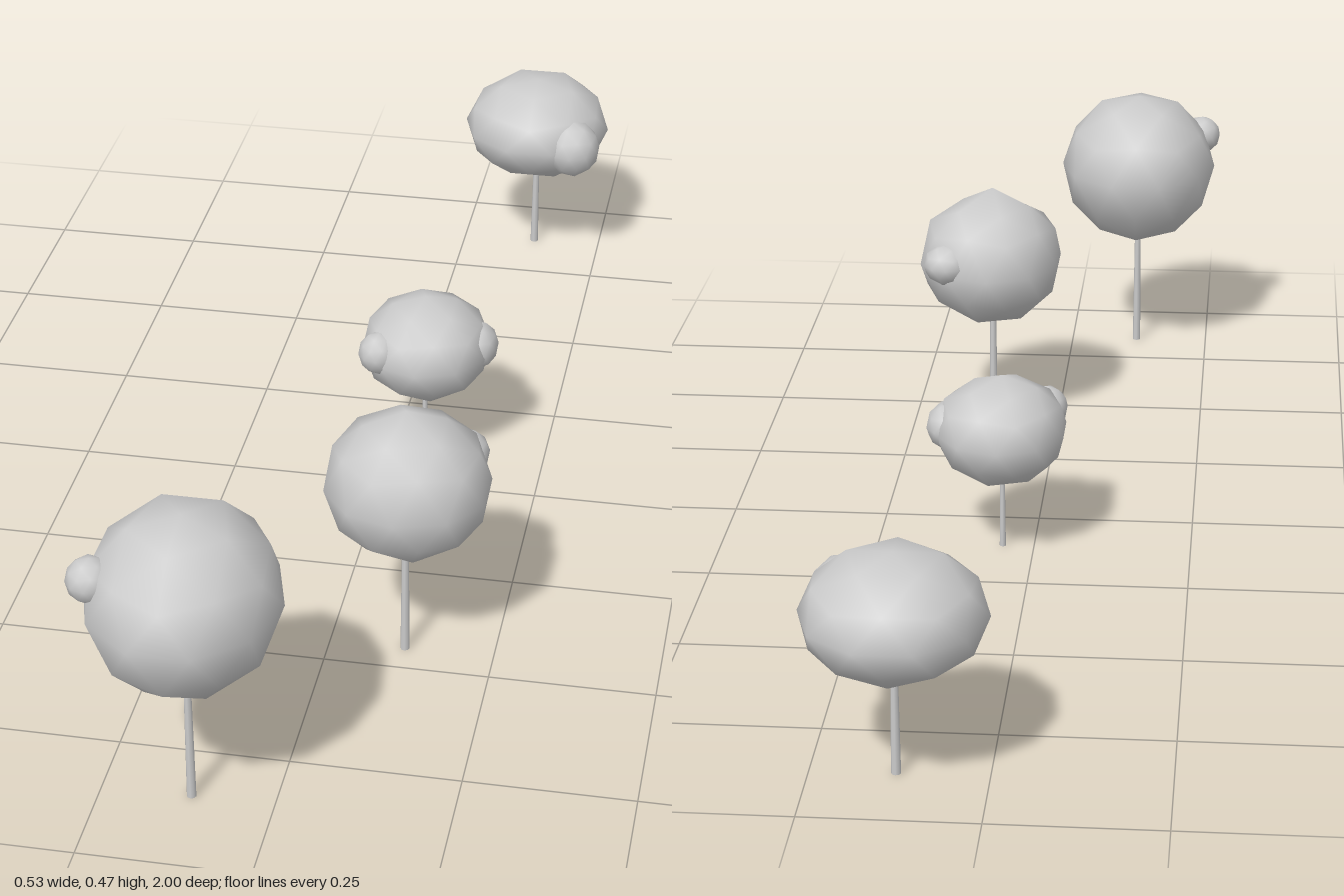
import * as THREE from 'three';
import { mergeVertices } from 'three/addons/utils/BufferGeometryUtils.js';

const material = new THREE.MeshStandardMaterial({ color: 0xcccccc });

// Low-poly blob with smooth normals. Each half-extent is [negative, positive];
// crest < 1 lowers the ring under the top so the top becomes a peak.
function blobGeometry(ex, ey, ez, spin = 0, crest = 1) {
  const raw = new THREE.IcosahedronGeometry(1, 1);
  raw.deleteAttribute('uv');
  raw.deleteAttribute('normal');
  const geo = mergeVertices(raw, 1e-4);
  // stand the sphere on one of its five-sided corners, then turn it
  geo.rotateZ(Math.PI / 2 - Math.atan2((1 + Math.sqrt(5)) / 2, 1));
  geo.rotateY(spin);
  const p = geo.attributes.position;
  const half = (v, e) => v * (v < 0 ? e[0] : e[1]);
  for (let i = 0; i < p.count; i++) {
    let y = p.getY(i);
    if (y > 0.7 && y < 0.99) y *= crest;
    p.setXYZ(i, half(p.getX(i), ex), half(y, ey), half(p.getZ(i), ez));
  }
  geo.computeVertexNormals();
  return geo;
}

const trees = [
  { name: 'frontTree', x: -0.12, z: 0.85, y: 0.345, r: 0.007, spin: Math.PI / 10, crest: 1.03,
    ex: [0.14, 0.14], ey: [0.142, 0.13], ez: [0.158, 0.154],
    bumps: [[-0.115, 0.045, 0.05, 0.034, 0.034, 0.034]] },
  { name: 'secondTree', x: 0.115, z: 0.45, y: 0.292, r: 0.007, spin: 0, crest: 0.88,
    ex: [0.122, 0.128], ey: [0.112, 0.128], ez: [0.135, 0.114],
    bumps: [[0.07, 0.015, -0.082, 0.042, 0.036, 0.042]] },
  { name: 'thirdTree', x: 0.05, z: -0.11, y: 0.202, r: 0.005, spin: 0, crest: 0.92,
    ex: [0.104, 0.108], ey: [0.088, 0.09], ez: [0.115, 0.11],
    bumps: [[-0.066, 0.013, 0.062, 0.034, 0.036, 0.034],
            [0.08, 0.005, -0.005, 0.04, 0.04, 0.046]] },
  { name: 'backTree', x: 0.13, z: -0.87, y: 0.242, r: 0.007, spin: Math.PI / 10, crest: 1.05,
    ex: [0.132, 0.13], ey: [0.09, 0.09], ez: [0.137, 0.13],
    bumps: [[0.074, -0.005, 0.076, 0.05, 0.052, 0.05]] },
];

export function createModel() {
  const model = new THREE.Group();
  model.name = 'treeRow';
  for (const t of trees) {
    const tree = new THREE.Group();
    tree.name = t.name;
    tree.position.set(t.x, 0, t.z);

    // thin tapered trunk, ending just inside the crown
    const height = t.y - t.ey[0] + 0.01;
    const trunk = new THREE.Mesh(new THREE.CylinderGeometry(t.r * 0.75, t.r, height, 8), material);
    trunk.name = 'trunk';
    trunk.position.y = height / 2;
    tree.add(trunk);

    // main crown
    const crown = new THREE.Mesh(blobGeometry(t.ex, t.ey, t.ez, t.spin, t.crest), material);
    crown.name = 'crown';
    crown.position.y = t.y;
    tree.add(crown);

    // small clumps of leaves on the side of the crown
    for (const [x, y, z, rx, ry, rz] of t.bumps) {
      const clump = new THREE.Mesh(blobGeometry([rx, rx], [ry, ry], [rz, rz]), material);
      clump.name = 'leafClump';
      clump.position.set(x, t.y + y, z);
      tree.add(clump);
    }
    model.add(tree);
  }
  return model;
}
